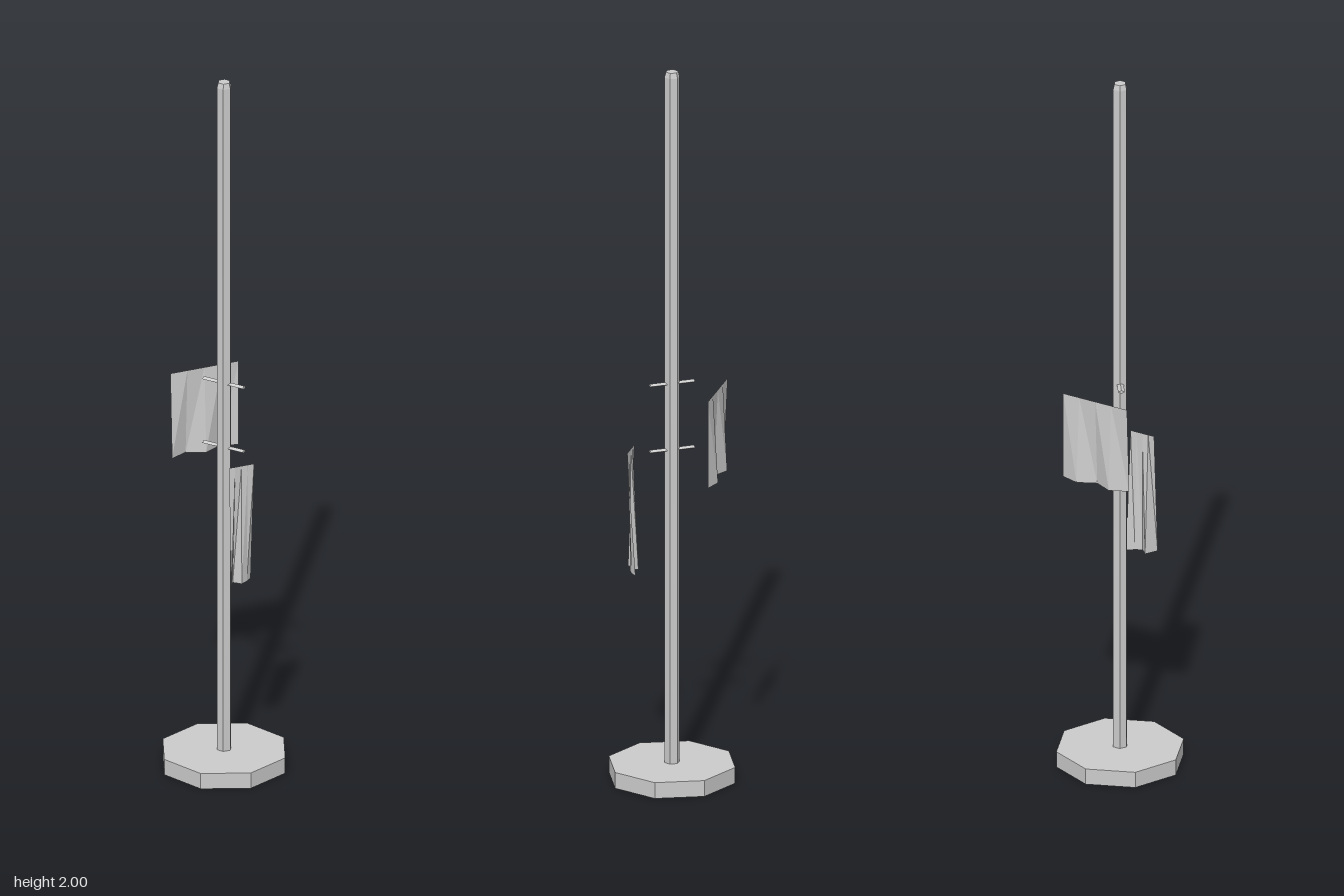
import * as THREE from 'three';

const material = new THREE.MeshStandardMaterial({ color: 0xcccccc, flatShading: true });
const clothMaterial = new THREE.MeshStandardMaterial({ color: 0xcccccc, flatShading: true, side: THREE.DoubleSide });

function add(parent, name, geometry, mat = material) {
  const mesh = new THREE.Mesh(geometry, mat);
  mesh.name = name;
  parent.add(mesh);
  return mesh;
}

// Hanging cloth: straight along the top, folded along the bottom edge.
function clothGeometry(width, bottom, top, z, folds) {
  const geometry = new THREE.PlaneGeometry(width, top - bottom, folds.length - 1, 1);
  geometry.translate(0, (top + bottom) / 2, z);
  folds.forEach((foldZ, i) => geometry.attributes.position.setZ(folds.length + i, foldZ));
  geometry.computeVertexNormals();
  return geometry;
}

export function createModel() {
  const model = new THREE.Group();
  model.name = 'clothStand';

  // Octagonal foot
  add(model, 'base', new THREE.CylinderGeometry(0.175, 0.175, 0.045, 8).translate(0, 0.0225, 0));

  // Six-sided pole with a bevelled tip
  const profile = [[0, 0.04], [0.021, 0.04], [0.021, 1.985], [0.017, 2], [0, 2]]
    .map(([r, y]) => new THREE.Vector2(r, y));
  add(model, 'pole', new THREE.LatheGeometry(profile, 6).rotateY(Math.PI / 2));

  // Slim pegs running diagonally through the pole
  for (const y of [1.117, 0.93]) {
    const peg = add(model, 'peg', new THREE.CylinderGeometry(0.009, 0.009, 0.125, 4)
      .rotateX(Math.PI / 2).scale(1, 0.55, 1));
    peg.position.y = y;
    peg.rotation.y = Math.atan2(0.072, 0.103);
  }

  // Hanging cloths behind and in front of the pole
  add(model, 'backCloth',
    clothGeometry(0.2, 0.865, 1.11, -0.127, [-0.116, -0.139, -0.116, -0.141, -0.127]), clothMaterial);
  add(model, 'frontCloth',
    clothGeometry(0.074, 0.575, 0.92, 0.114, [0.132, 0.098, 0.116, 0.107, 0.091]), clothMaterial);

  return model;
}
